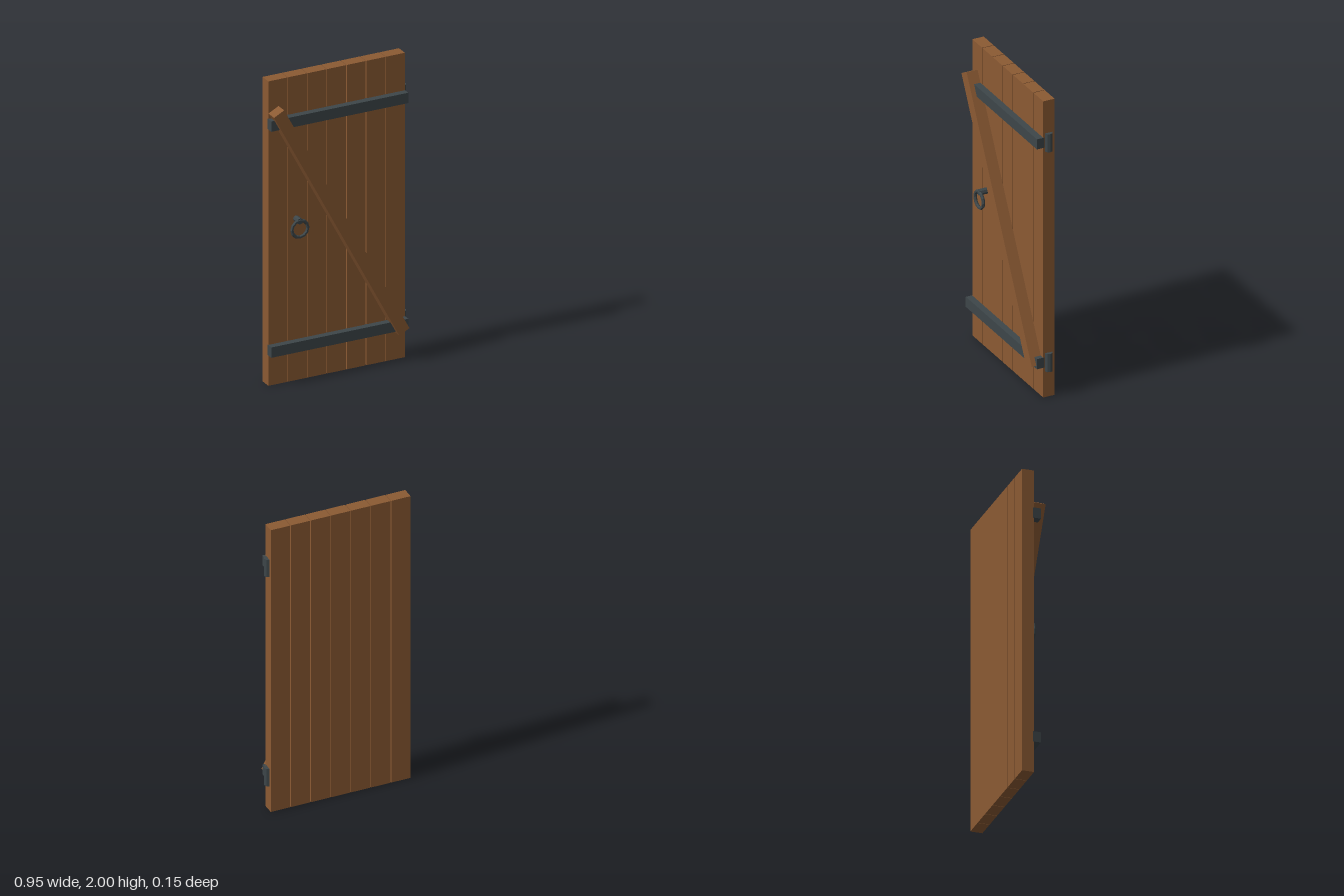
import * as THREE from 'three';

export function createModel() {
  const door = new THREE.Group();
  door.name = 'door';
  const wood = new THREE.MeshStandardMaterial({ color: 0x8b5a33, flatShading: true });
  wood.name = 'wood';
  const iron = new THREE.MeshStandardMaterial({ color: 0x3d4649, flatShading: true });
  iron.name = 'iron';

  const add = (name, geometry, material, x, y, z) => {
    const mesh = new THREE.Mesh(geometry, material);
    mesh.name = name;
    mesh.position.set(x, y, z);
    door.add(mesh);
    return mesh;
  };

  // Seven upright planks with narrow gaps
  const count = 7, left = -0.475, right = 0.45, gap = 0.005;
  const width = (right - left - gap * (count - 1)) / count;
  for (let i = 0; i < count; i++) {
    const x = left + width / 2 + i * (width + gap);
    add('plank' + (i + 1), new THREE.BoxGeometry(width, 2, 0.077), wood, x, 1, -0.0385);
  }

  // Iron straps, each with a hinge barrel at the door's edge
  for (const [place, y] of [['upper', 1.72], ['lower', 0.235]]) {
    add(place + 'Strap', new THREE.BoxGeometry(0.929, 0.068, 0.05), iron, -0.0135, y, 0.018);
    add(place + 'Hinge', new THREE.CylinderGeometry(0.025, 0.025, 0.122, 8), iron, 0.45, y, -0.037);
  }

  // Diagonal brace laid over the straps
  const brace = add('brace', new THREE.BoxGeometry(0.077, 1.815, 0.074), wood, -0.016, 1.005, 0.037);
  brace.rotation.z = 0.487;

  // Ring handle hanging from a short stud
  const stud = add('handleStud', new THREE.CylinderGeometry(0.02, 0.02, 0.056, 8), iron, -0.288, 1.063, 0.027);
  stud.rotation.x = Math.PI / 2;
  add('handleRing', new THREE.TorusGeometry(0.054, 0.011, 6, 12), iron, -0.288, 1.013, 0.05);

  return door;
}
